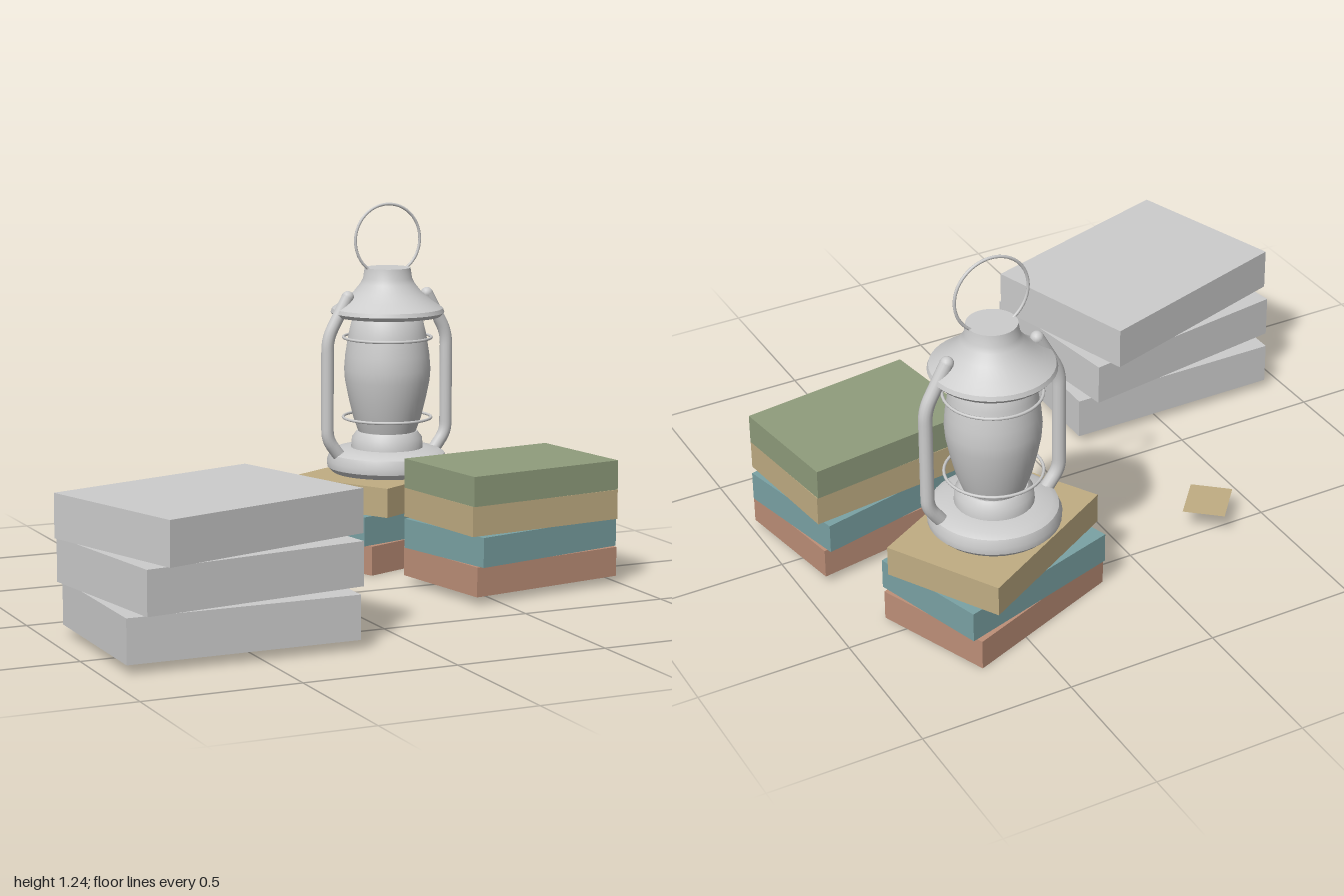
import * as THREE from 'three';
import { toCreasedNormals } from 'three/addons/utils/BufferGeometryUtils.js';

const mat = (name, color, side = THREE.FrontSide) => {
  const m = new THREE.MeshStandardMaterial({ color, side });
  m.name = name;
  return m;
};

export function createModel() {
  const grey = mat('grey', 0xcccccc);
  const red = mat('brick red', 0xbd8f78);
  const teal = mat('teal', 0x7aa2a4);
  const tan = mat('tan', 0xc0ad83, THREE.DoubleSide);
  const green = mat('green', 0x8f9c7c);

  const model = new THREE.Group();
  model.name = 'lanternAndBooks';

  const add = (parent, name, geometry, material, x = 0, y = 0, z = 0) => {
    const mesh = new THREE.Mesh(geometry, material);
    mesh.name = name;
    mesh.position.set(x, y, z);
    parent.add(mesh);
    return mesh;
  };

  // A pile of boxes sharing one centre, each turned by its own angle
  const stack = (name, x, z, [w, h, d], pitch, y0, layers) => {
    const group = new THREE.Group();
    group.name = name;
    group.position.set(x, 0, z);
    layers.forEach(([part, material, degrees], i) => {
      const box = add(group, part, new THREE.BoxGeometry(w, h, d), material, 0, y0 + h / 2 + i * pitch, 0);
      box.rotation.y = THREE.MathUtils.degToRad(degrees);
    });
    model.add(group);
  };

  stack('crateStack', -0.556, 0.432, [0.752, 0.14, 0.56], 0.15, 0.03,
    [['lowerCrate', grey, 0], ['middleCrate', grey, 8.5], ['upperCrate', grey, 17.2]]);
  stack('frontBookStack', 0.666, 0.086, [0.582, 0.0985, 0.404], 0.0985, 0.026,
    [['redBook', red, 9.6], ['tealBook', teal, 13], ['tanBook', tan, 6.9], ['greenBook', green, 7.6]]);
  stack('backBookStack', 0.492, -0.498, [0.58, 0.1, 0.402], 0.1, 0,
    [['redBook', red, 21.2], ['tealBook', teal, 17], ['tanBook', tan, 29.5]]);

  // Loose sheet of paper
  const sheet = new THREE.PlaneGeometry(0.162, 0.138).rotateX(-Math.PI / 2);
  add(model, 'looseSheet', sheet, tan, -0.322, 0.077, -0.449).rotation.y = THREE.MathUtils.degToRad(49);

  // Lantern
  const lantern = new THREE.Group();
  lantern.name = 'lantern';
  lantern.position.set(0.49, 0, -0.498);
  model.add(lantern);

  const lathe = (name, points) => {
    const profile = points.map(([r, y]) => new THREE.Vector2(r, y));
    add(lantern, name, toCreasedNormals(new THREE.LatheGeometry(profile, 40), 0.6), grey);
  };

  lathe('fuelTank', [[0, 0.3], [0.19, 0.3], [0.208, 0.318], [0.21, 0.34], [0.2, 0.366],
    [0.18, 0.378], [0.125, 0.385], [0.122, 0.42], [0.105, 0.442], [0, 0.442]]);
  lathe('globe', [[0, 0.44], [0.1, 0.44], [0.118, 0.49], [0.135, 0.56], [0.147, 0.62], [0.15, 0.66],
    [0.146, 0.71], [0.135, 0.78], [0.122, 0.835], [0.11, 0.85], [0, 0.85]]);
  lathe('hood', [[0, 0.845], [0.185, 0.845], [0.197, 0.858], [0.192, 0.872], [0.155, 0.897],
    [0.118, 0.928], [0.094, 0.958], [0.085, 0.975], [0.079, 1.012], [0, 1.012]]);

  // Wire guards round the globe
  for (const y of [0.49, 0.77]) {
    add(lantern, 'globeGuard', new THREE.TorusGeometry(0.153, 0.005, 8, 40).rotateX(Math.PI / 2), grey, 0, y, 0);
  }

  // Bent side tubes with rounded upper ends
  for (const s of [-1, 1]) {
    const p = [[0.165, 0.34], [0.228, 0.425], [0.228, 0.775], [0.152, 0.915]]
      .map(([x, y]) => new THREE.Vector3(s * x, y, 0));
    const path = new THREE.CurvePath();
    const near = (a, b, d) => a.clone().add(b.clone().sub(a).setLength(d));
    const [a, b] = [near(p[1], p[0], 0.03), near(p[1], p[2], 0.03)];
    const [c, d] = [near(p[2], p[1], 0.04), near(p[2], p[3], 0.04)];
    path.add(new THREE.LineCurve3(p[0], a));
    path.add(new THREE.QuadraticBezierCurve3(a, p[1], b));
    path.add(new THREE.LineCurve3(b, c));
    path.add(new THREE.QuadraticBezierCurve3(c, p[2], d));
    path.add(new THREE.LineCurve3(d, p[3]));
    add(lantern, 'sideTube', new THREE.TubeGeometry(path, 48, 0.022, 14), grey);
    add(lantern, 'tubeEnd', new THREE.SphereGeometry(0.022, 14, 10), grey, p[3].x, p[3].y, 0);
  }

  // Ring handle
  add(lantern, 'handle', new THREE.TorusGeometry(0.123, 0.005, 10, 56), grey, 0, 1.108, 0);

  return model;
}
